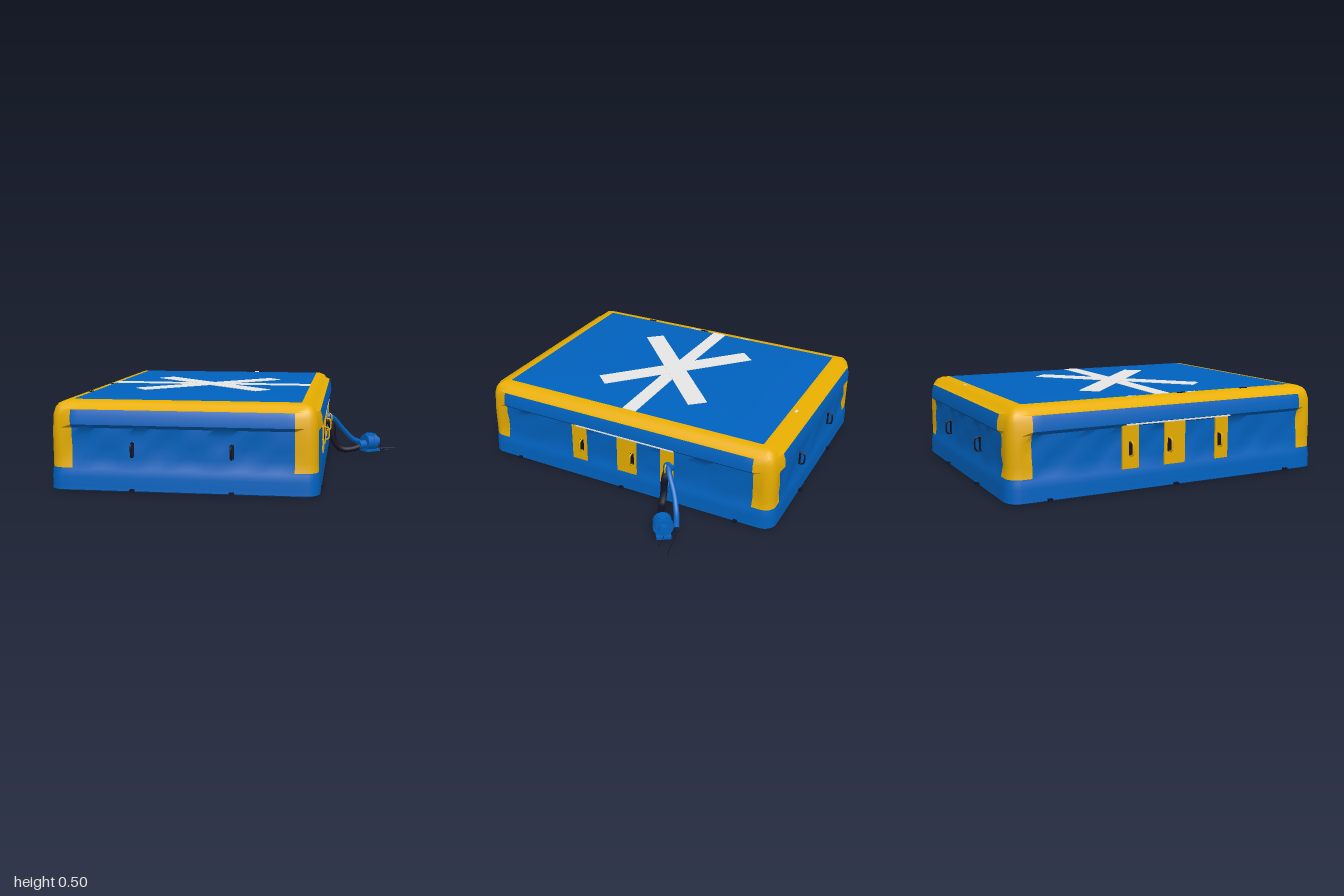
import * as THREE from 'three';
import { toCreasedNormals } from 'three/addons/utils/BufferGeometryUtils.js';

const mat = (name, color) => {
  const m = new THREE.MeshStandardMaterial({ color });
  m.name = name;
  return m;
};
const V = (p) => new THREE.Vector3(...p);

// Mattress extents
const CX = -0.218, HX = 0.75, HZ = 0.978, R = 0.085, PATCH = 0.14;

// One rounded-rectangle ring; mid(s, q) returns the extra inset of the panel between corners
function ring(y, inset, mid = () => 0) {
  const pts = [];
  const hx = HX - inset, hz = HZ - inset, r = Math.max(R - inset, 0.008), N = 28;
  const signs = [[1, 1], [-1, 1], [-1, -1], [1, -1]];
  signs.forEach(([sx, sz], q) => {
    for (let i = 0; i <= 6; i++) {
      const a = (q + i / 6) * Math.PI / 2;
      pts.push([CX + sx * (hx - r) + r * Math.cos(a), y, sz * (hz - r) + r * Math.sin(a), false]);
    }
    const alongX = q % 2 === 0;
    const span = (alongX ? HX : HZ) - PATCH;
    const dir = q === 0 || q === 1 ? -1 : 1;
    for (let i = 0; i <= N; i++) {
      const s = dir * span * (2 * i / N - 1);
      const d = mid(s, q);
      pts.push(alongX ? [CX + s, y, sz * (hz - d), i < N] : [CX + sx * (hx - d), y, s, i < N]);
    }
  });
  return pts;
}

// Air-filled body, lofted from rings, blue with a yellow top border and corner patches
function mattress(blue, yellow) {
  const crease = (y) => (s, q) => {
    const w = Math.sin(7 * s + q * 2 + y * 9) * Math.sin(13 * s - y * 14 + q);
    return 0.002 + 0.014 * Math.abs(w);
  };
  const flap = () => -0.021;
  const rings = [
    ring(0.0, 0.03), ring(0.01, 0.006), ring(0.035, 0.008), ring(0.08, 0.008), ring(0.12, 0.013),
    ring(0.13, 0.016, () => 0.001), ring(0.19, 0.016, crease(0.19)), ring(0.25, 0.016, crease(0.25)),
    ring(0.31, 0.016, crease(0.31)), ring(0.352, 0.018, () => 0.003),
    ring(0.372, 0.02, flap), ring(0.42, 0.023, flap), ring(0.453, 0.034, flap),
    ring(0.459, 0.037), ring(0.48, 0.055), ring(0.493, 0.085), ring(0.497, 0.124),
  ];
  // The border is a little narrower on the left
  rings.at(-1).forEach((p) => { if (p[0] > CX + 0.6) p[0] += 0.012; });
  const n = rings[0].length, pos = [], lists = [[], []];
  rings.forEach((r) => r.forEach((p) => pos.push(p[0], p[1], p[2])));
  for (let j = 0; j + 1 < rings.length; j++) {
    for (let k = 0; k < n; k++) {
      const y = rings[j][0][1], isMid = rings[j][k][3];
      const list = lists[y > 0.452 || (!isMid && y > 0.125) ? 1 : 0];
      const a = j * n + k, b = j * n + (k + 1) % n;
      list.push(a, a + n, b, a + n, b + n, b);
    }
  }
  // Flat lid and floor
  const top = pos.length / 3, last = (rings.length - 1) * n;
  pos.push(CX, 0.498, 0, CX, 0, 0);
  for (let k = 0; k < n; k++) {
    const k2 = (k + 1) % n;
    lists[0].push(top, last + k2, last + k, top + 1, k, k2);
  }
  const g = new THREE.BufferGeometry();
  g.setAttribute('position', new THREE.Float32BufferAttribute(pos, 3));
  g.setIndex([...lists[0], ...lists[1]]);
  g.addGroup(0, lists[0].length, 0);
  g.addGroup(lists[0].length, lists[1].length, 1);
  return new THREE.Mesh(toCreasedNormals(g, 0.7), [blue, yellow]);
}

export function createModel() {
  const root = new THREE.Group();
  const blue = mat('blue vinyl', 0x0062bf);
  const yellow = mat('yellow vinyl', 0xfcbd00);
  const white = mat('white marking', 0xf2f2f2);
  const black = mat('black rubber', 0x111124);

  const add = (name, mesh, parent = root) => {
    mesh.name = name;
    parent.add(mesh);
    return mesh;
  };
  const box = (name, size, at, m, parent) => {
    const b = add(name, new THREE.Mesh(new THREE.BoxGeometry(...size), m), parent);
    b.position.set(...at);
    return b;
  };
  const tube = (name, pts, r, m, parent) => add(name, new THREE.Mesh(
    new THREE.TubeGeometry(new THREE.CatmullRomCurve3(pts.map(V)), 28, r, 8), m), parent);
  // Flat strip lying between two points in plan
  const strip = (name, [x1, z1], [x2, z2], w, y) => {
    const s = box(name, [Math.hypot(x2 - x1, z2 - z1), 0.003, w], [(x1 + x2) / 2, y, (z1 + z2) / 2], white);
    s.rotation.y = -Math.atan2(z2 - z1, x2 - x1);
  };

  add('mattress', mattress(blue, yellow));

  // Target star on the lid
  strip('lidStripeRight', [-0.85, -0.025], [-0.2, -0.005], 0.09, 0.4985);
  strip('lidStripeLeft', [-0.2, -0.005], [0.42, 0.0], 0.09, 0.4985);
  strip('lidDiagonal', [-0.59, -0.345], [0.155, 0.345], 0.12, 0.4995);
  strip('lidDiagonal', [0.165, -0.33], [-0.595, 0.36], 0.12, 0.5);
  box('lidLabel', [0.03, 0.003, 0.015], [-0.025, 0.4965, -0.888], white);

  // Target star on the floor
  strip('floorStripe', [-0.93, -0.03], [0.08, -0.07], 0.13, 0.0005);
  strip('floorDiagonal', [-0.87, -0.48], [0.01, 0.38], 0.13, 0.0005);
  strip('floorCrossArm', [-0.42, -0.56], [-0.44, 0.45], 0.13, 0.0005);

  // Grab handles: bowed loops on a dark base, built facing +z
  const handle = (x, z, turn, loopMat) => {
    const g = add('handle', new THREE.Group());
    g.position.set(x, 0.235, z);
    g.rotation.y = turn;
    tube('handleLoop', [[0, -0.04, -0.02], [0, -0.032, 0.024], [0, 0, 0.03],
      [0, 0.032, 0.024], [0, 0.04, -0.02]], 0.005, loopMat, g);
    box('handleBase', [0.022, 0.075, 0.006], [0, 0, 0], black, g);
  };
  // Yellow patches with handles on both long sides, under a white seam
  const longSides = [
    { side: 1, patches: [[0.295, 0.1], [-0.035, 0.13], [-0.305, 0.085]], handles: [0.275, -0.075, -0.31] },
    { side: -1, patches: [[-0.28, 0.1], [-0.005, 0.13], [0.3, 0.085]], handles: [-0.28, -0.04, 0.285] },
  ];
  for (const { side, patches, handles } of longSides) {
    for (const [z, w] of patches) {
      box('handlePatch', [0.009, 0.235, w], [CX + side * (HX - 0.014), 0.243, z], yellow);
    }
    for (const z of handles) handle(CX + side * (HX - 0.009), z, side * Math.PI / 2, yellow);
    box('flapSeam', [0.006, 0.008, 0.66], [CX + side * HX, 0.366, side * -0.02], white);
    for (const z of [-0.75, 0, 0.75]) {
      box('anchorTab', [0.022, 0.012, 0.025], [CX + side * HX, 0.015, z], black);
    }
  }
  // Handles and anchor tabs on the short sides
  for (const side of [1, -1]) {
    for (const x of [-0.49, 0.055]) {
      handle(x, side * (HZ - 0.02), side > 0 ? 0 : Math.PI, black);
      box('anchorTab', [0.025, 0.012, 0.022], [x, 0.015, side * HZ], black);
    }
  }
  // Small clips beside the lid's right edge
  for (const z of [0.095, 0.515]) box('lidClip', [0.015, 0.006, 0.05], [-0.853, 0.496, z], black);
  for (const z of [-0.22, 0.16]) box('lidSeam', [0.008, 0.006, 0.06], [-0.849, 0.496, z], white);

  // Filling hoses and valve
  const valve = add('valve', new THREE.Mesh(new THREE.CylinderGeometry(0.03, 0.035, 0.03, 16), blue));
  valve.rotation.z = -Math.PI / 2;
  valve.position.set(0.525, 0.25, -0.32);
  tube('airHose', [[0.51, 0.27, -0.31], [0.56, 0.24, -0.34], [0.63, 0.15, -0.41],
    [0.7, 0.075, -0.46], [0.78, 0.04, -0.5]], 0.017, blue);
  tube('blowerHose', [[0.52, 0.23, -0.31], [0.555, 0.19, -0.31], [0.565, 0.1, -0.31],
    [0.61, 0.035, -0.32], [0.68, 0.025, -0.35], [0.76, 0.045, -0.4]], 0.022, black);

  // Blower: rounded housing, inlet and outlet collars, foot
  const blower = add('blower', new THREE.Group());
  blower.position.set(0.81, 0, -0.43);
  blower.rotation.y = 0.6;
  const cyl = (name, r, len, at, upright) => {
    const c = add(name, new THREE.Mesh(new THREE.CylinderGeometry(r, r, len, 18), blue), blower);
    c.position.set(...at);
    if (!upright) c.rotation.z = Math.PI / 2;
  };
  cyl('blowerHousing', 0.055, 0.08, [0, 0.065, 0], false);
  cyl('blowerRim', 0.06, 0.018, [0.015, 0.063, 0], false);
  cyl('blowerOutlet', 0.03, 0.06, [-0.06, 0.05, 0], false);
  cyl('blowerInlet', 0.03, 0.035, [0.052, 0.065, 0], false);
  cyl('blowerMotor', 0.03, 0.04, [0, 0.103, 0], true);
  box('blowerFoot', [0.11, 0.016, 0.085], [0.005, 0.01, 0], blue, blower);

  // Power leads on the ground
  tube('powerLead', [[0.78, 0.03, -0.5], [0.84, 0.012, -0.52], [0.92, 0.008, -0.53], [0.99, 0.006, -0.55]], 0.002, black);
  tube('controlLead', [[0.85, 0.03, -0.46], [0.89, 0.01, -0.465], [0.94, 0.006, -0.465]], 0.002, black);

  return root;
}
